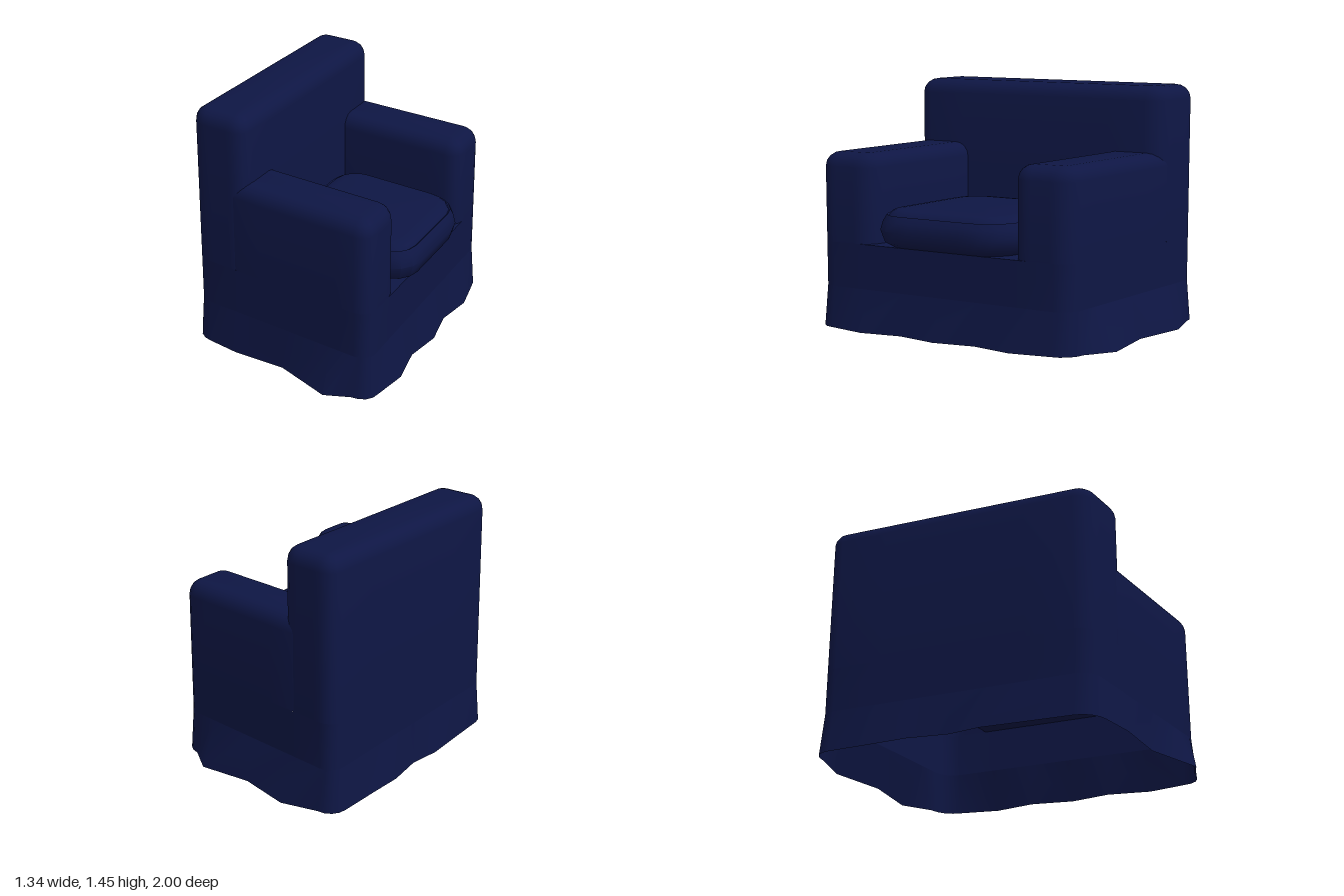
import * as THREE from 'three';
import { toCreasedNormals } from 'three/addons/utils/BufferGeometryUtils.js';

// The whole chair leans sideways: z shifts with x
const SHEAR = new THREE.Matrix4().set(1, 0, 0, 0, 0, 1, 0, 0, 0.21, 0, 1, -0.01, 0, 0, 0, 1);
const SEAT_Y = 0.52;
const material = new THREE.MeshStandardMaterial({ color: 0x0e1644, side: THREE.DoubleSide });

// Points along each side as [fraction, skirt flare]: left, back, right, front
const SIDES = [
  [[0.15, 0.1], [0.48, 0.005], [0.8, 0.035]],
  [[0.2, 0.03], [0.36, 0.04], [0.5, 0.01], [0.66, 0.04], [0.8, 0.03]],
  [[0.22, 0.1], [0.53, 0.055], [0.85, 0.12]],
  [[0.16, 0.06], [0.33, 0.02], [0.5, 0.06], [0.67, 0.02], [0.84, 0.06]],
];
const CORNER_FLARE = 0.02;
const CORNER_SEGMENTS = 4;

// Horizontal rounded rectangle, optionally flared outward
function ring({ x0, x1, z0, z1, r }, y, inset = 0, flare = 0) {
  const rad = Math.max(r - inset, 0.01);
  const cx = (x0 + x1) / 2, cz = (z0 + z1) / 2;
  const hx = (x1 - x0) / 2 - inset - rad, hz = (z1 - z0) / 2 - inset - rad;
  const corner = (k, angle, extra) => new THREE.Vector3(
    cx + (k === 0 || k === 3 ? hx : -hx) + Math.cos(angle) * (rad + extra), y,
    cz + (k < 2 ? hz : -hz) + Math.sin(angle) * (rad + extra));
  const points = [];
  for (let k = 0; k < 4; k++) {
    const end = (k + 1) * Math.PI / 2;
    for (let i = 0; i <= CORNER_SEGMENTS; i++) {
      points.push(corner(k, (k + i / CORNER_SEGMENTS) * Math.PI / 2, CORNER_FLARE * flare));
    }
    for (const [t, f] of SIDES[k]) {
      points.push(corner(k, end, f * flare).lerp(corner((k + 1) % 4, end, f * flare), t));
    }
  }
  return points;
}

// Skin a stack of rings from bottom to top, with optional caps
function loft(name, rings, capTop, capBottom) {
  const n = rings[0].length;
  const vertices = rings.flat();
  const index = [];
  for (let j = 0; j < rings.length - 1; j++) {
    for (let i = 0; i < n; i++) {
      const a = j * n + i, b = j * n + (i + 1) % n;
      index.push(a, a + n, b, b, a + n, b + n);
    }
  }
  const cap = (j, up) => {
    const centre = new THREE.Vector3();
    rings[j].forEach((p) => centre.addScaledVector(p, 1 / n));
    const c = vertices.push(centre) - 1;
    for (let i = 0; i < n; i++) {
      const a = j * n + i, b = j * n + (i + 1) % n;
      index.push(c, up ? b : a, up ? a : b);
    }
  };
  if (capTop) cap(rings.length - 1, true);
  if (capBottom) cap(0, false);
  const geometry = new THREE.BufferGeometry().setFromPoints(vertices);
  geometry.setIndex(index);
  return part(name, toCreasedNormals(geometry.applyMatrix4(SHEAR), 0.75));
}

function part(name, geometry) {
  const mesh = new THREE.Mesh(geometry, material);
  mesh.name = name;
  return mesh;
}

// Upright block, open below, with a softly rounded top edge
function block(name, box, top) {
  const soft = 0.085;
  const rings = [ring(box, SEAT_Y)];
  for (let i = 0; i <= 4; i++) {
    const a = i / 4 * Math.PI / 2;
    rings.push(ring(box, top - soft + soft * Math.sin(a), soft * (1 - Math.cos(a))));
  }
  return loft(name, rings, true, false);
}

export function createModel() {
  const chair = new THREE.Group();
  chair.name = 'armchair';

  // Lower body and the wavy skirt, open underneath
  const body = { x0: -0.63, x1: 0.6, z0: -0.83, z1: 0.83, r: 0.1 };
  chair.add(loft('lowerBody', [ring(body, 0.25), ring(body, SEAT_Y)]));
  chair.add(loft('skirt', [ring(body, 0, 0, 1), ring(body, 0.25)]));

  // Backrest
  chair.add(block('backrest', { ...body, x1: -0.24 }, 1.445));

  // Arms, running into the backrest
  const arm = { x0: -0.42, x1: 0.6, r: 0.1 };
  chair.add(block('leftArm', { ...arm, z0: -0.83, z1: -0.46 }, 1.055));
  chair.add(block('rightArm', { ...arm, z0: 0.46, z1: 0.83 }, 1.055));

  // Seat deck under the cushion
  const deck = new THREE.PlaneGeometry(0.86, 1.1).rotateX(-Math.PI / 2);
  deck.translate(0.17, SEAT_Y, 0).applyMatrix4(SHEAR);
  chair.add(part('seatDeck', deck));

  // Cushion with a seam around the top
  const cushion = { x0: -0.245, x1: 0.665, z0: -0.46, z1: 0.46, r: 0.22 };
  const profile = [
    [0.2, 0.503], [0.07, 0.517], [0.025, 0.545], [0, 0.62], [0.015, 0.675],
    [0.035, 0.71], [0.045, 0.703], [0.06, 0.725], [0.085, 0.738], [0.13, 0.743],
  ];
  chair.add(loft('seatCushion', profile.map(([inset, y]) => ring(cushion, y, inset)), true, true));

  return chair;
}
